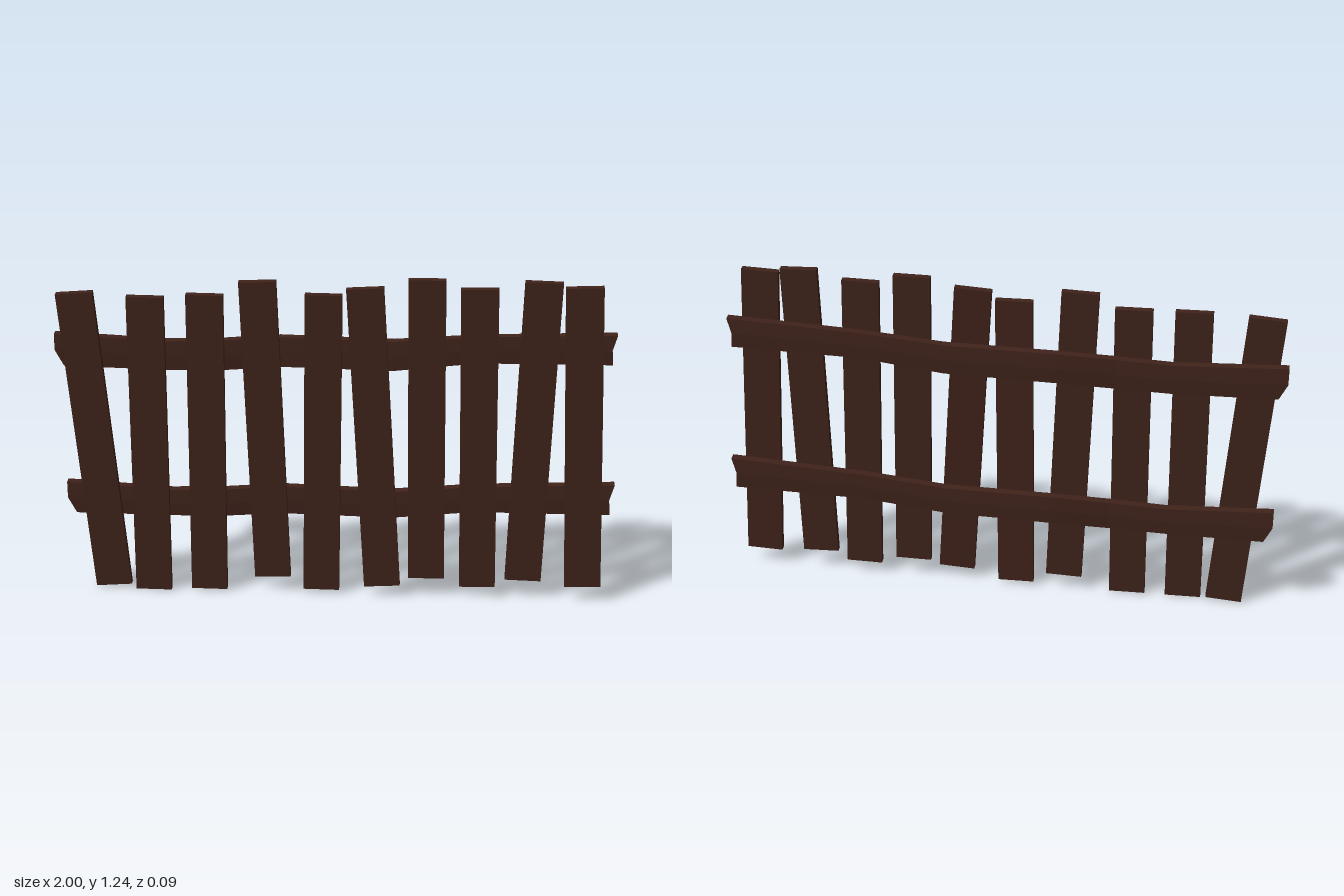
import * as THREE from 'three';

const wood = new THREE.MeshStandardMaterial({ color: 0x40231b, roughness: 0.9, flatShading: true });

// Each picket: [topX, topY, topZ, bottomX, bottomY, bottomZ] along its centre line
const PICKETS = [
  [-0.917, 1.165, 0.009, -0.826, 0.013, 0.003],
  [-0.666, 1.163, 0.031, -0.676, 0.006, 0.017],
  [-0.460, 1.168, 0.013, -0.470, 0.010, 0.010],
  [-0.275, 1.220, 0.012, -0.235, 0.065, 0.006],
  [-0.045, 1.175, 0.011, -0.056, 0.020, 0.013],
  [0.099, 1.205, 0.021, 0.168, 0.050, 0.031],
  [0.313, 1.240, 0.020, 0.329, 0.080, 0.018],
  [0.495, 1.210, 0.021, 0.516, 0.050, 0.019],
  [0.714, 1.240, 0.025, 0.682, 0.083, 0.022],
  [0.853, 1.225, 0.029, 0.900, 0.067, 0.031],
];

function makePicket([tx, ty, tz, bx, by, bz]) {
  const top = new THREE.Vector3(tx, ty, tz);
  const bottom = new THREE.Vector3(bx, by, bz);
  const axis = top.clone().sub(bottom);
  const mesh = new THREE.Mesh(new THREE.BoxGeometry(0.131, axis.length(), 0.025), wood);
  mesh.position.copy(top).add(bottom).multiplyScalar(0.5);
  mesh.quaternion.setFromUnitVectors(new THREE.Vector3(0, 1, 0), axis.normalize());
  return mesh;
}

// Warped rail lofted through sections [x, topY, bottomY, backZ];
// endX holds the ragged end offsets of the top, middle and bottom edges
function makeRail(sections, startX, endX) {
  const pos = [], index = [], last = sections.length - 1;
  sections.forEach(([x, top, bottom, back], i) => {
    const off = i === 0 ? startX : i === last ? endX : [0, 0, 0];
    const mid = (top + bottom) / 2, front = back + 0.034;
    pos.push(
      x + off[0], top, front,
      x + off[1], mid, front + 0.002,
      x + off[2], bottom, front,
      x + off[2], bottom, back + 0.003,
      x + off[1], mid, back,
      x + off[0], top, back + 0.004,
    );
  });
  for (let i = 0; i < last; i++) {
    for (let j = 0; j < 6; j++) {
      const a = i * 6 + j, b = i * 6 + (j + 1) % 6;
      index.push(a, b, b + 6, a, b + 6, a + 6);
    }
  }
  // End caps, split into an upper and a lower quad
  const e = last * 6;
  for (const [p, q, r, s] of [[0, 1, 4, 5], [1, 2, 3, 4]]) {
    index.push(e + p, e + q, e + r, e + p, e + r, e + s);
    index.push(p, r, q, p, s, r);
  }
  const geo = new THREE.BufferGeometry();
  geo.setAttribute('position', new THREE.Float32BufferAttribute(pos, 3));
  geo.setIndex(index);
  const flat = geo.toNonIndexed();
  flat.computeVertexNormals();
  return new THREE.Mesh(flat, wood);
}

export function createModel() {
  const fence = new THREE.Group();
  fence.name = 'picketFence';

  // Upright boards
  const pickets = new THREE.Group();
  pickets.name = 'pickets';
  PICKETS.forEach((p, i) => {
    const board = makePicket(p);
    board.name = `picket${i + 1}`;
    pickets.add(board);
  });
  fence.add(pickets);

  // Cross rails behind the boards
  const upper = makeRail([
    [-1.0, 1.0, 0.88, -0.042],
    [-0.6, 0.982, 0.873, -0.038],
    [-0.4, 0.99, 0.878, -0.036],
    [-0.2, 1.002, 0.89, -0.047],
    [0.2, 1.0, 0.89, -0.03],
    [0.5, 1.025, 0.927, -0.026],
    [0.97, 1.045, 0.934, -0.016],
  ], [0, 0, 0.03], [0.006, -0.01, -0.005]);
  upper.name = 'upperRail';

  const lower = makeRail([
    [-0.985, 0.42, 0.297, -0.044],
    [-0.6, 0.4, 0.297, -0.038],
    [-0.4, 0.408, 0.302, -0.036],
    [-0.2, 0.42, 0.312, -0.046],
    [0.2, 0.416, 0.312, -0.03],
    [0.5, 0.445, 0.345, -0.026],
    [0.99, 0.47, 0.35, -0.016],
  ], [0, 0, 0.03], [0.007, -0.01, -0.005]);
  lower.name = 'lowerRail';

  fence.add(upper, lower);
  return fence;
}
